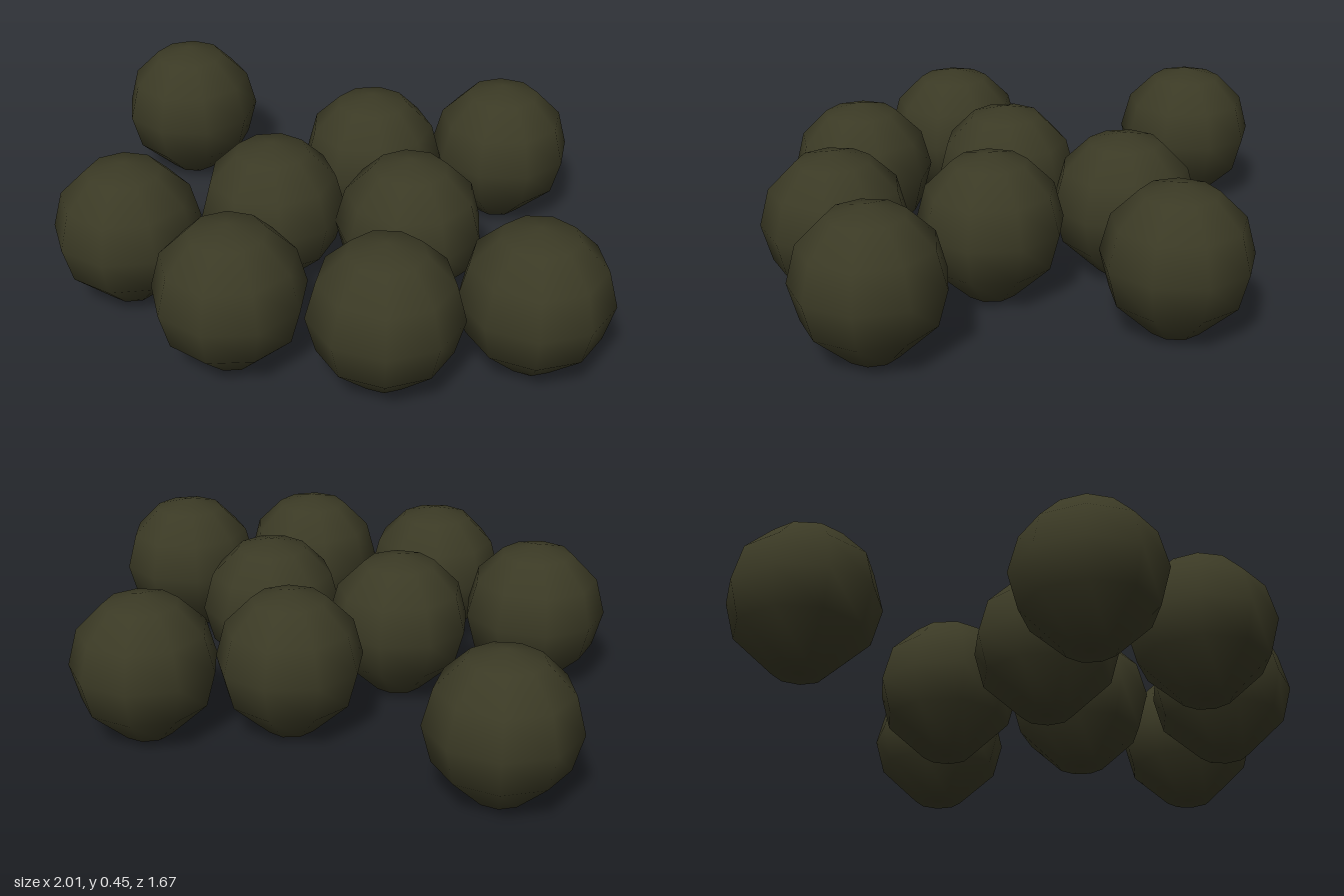
import * as THREE from 'three';

const R = 0.224;

// Low-sided smooth ball whose lowest ring is pulled in and flattened into a small base
function ballGeometry() {
  const geo = new THREE.SphereGeometry(R, 9, 6);
  const pos = geo.attributes.position;
  for (let i = 0; i < pos.count; i++) {
    if (pos.getY(i) < -0.8 * R) {
      pos.setXYZ(i, pos.getX(i) * 0.68, -R, pos.getZ(i) * 0.68);
    }
  }
  return geo;
}

export function createModel() {
  const group = new THREE.Group();
  group.name = 'scatteredBalls';
  const olive = new THREE.MeshStandardMaterial({ color: 0x3b3a25 });
  olive.name = 'darkOlive';
  const geo = ballGeometry();

  // x, z and turn (degrees) of each ball on the ground
  const places = [
    [0.09, -0.62, 20], [-0.12, -0.245, 30], [0.28, -0.07, 12],
    [-0.055, 0.195, 30], [-0.22, 0.61, 10], [0.245, 0.555, 14],
    [0.585, 0.27, 39], [0.78, -0.11, 2], [-0.78, 0.03, 20],
  ];
  places.forEach(([x, z, turn], i) => {
    const ball = new THREE.Mesh(geo, olive);
    ball.name = `ball${i + 1}`;
    ball.position.set(x, R, z);
    ball.rotation.y = THREE.MathUtils.degToRad(20 - turn);
    group.add(ball);
  });
  return group;
}
